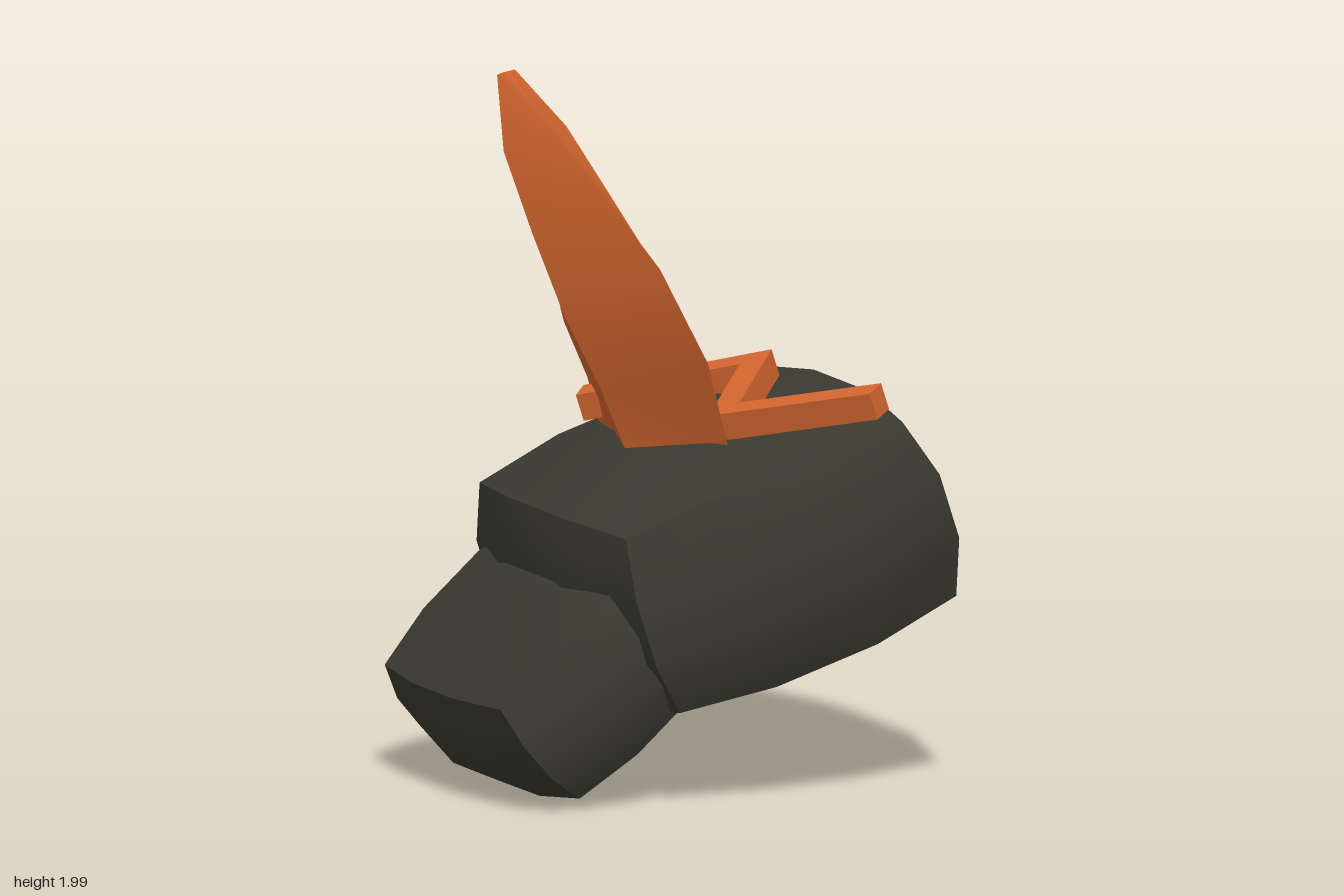
import * as THREE from 'three';

const darkStone = new THREE.MeshStandardMaterial({ color: 0x3b3a31 });
darkStone.name = 'darkStone';
const orange = new THREE.MeshStandardMaterial({ color: 0xd4662f });
orange.name = 'orange';

// Box bulged part of the way to a ball; the box edges stay sharp
function bulgedBox(name, hx, hy, hz) {
  const geo = new THREE.BoxGeometry(2, 2, 2, 3, 3, 3);
  const pos = geo.attributes.position;
  const p = new THREE.Vector3();
  for (let i = 0; i < pos.count; i++) {
    p.fromBufferAttribute(pos, i);
    p.multiplyScalar(0.507 + 0.854 / p.length());
    pos.setXYZ(i, p.x * hx, p.y * hy, p.z * hz);
  }
  geo.computeVertexNormals();
  const mesh = new THREE.Mesh(geo, darkStone);
  mesh.name = name;
  return mesh;
}

// Flat mitred strip along a zigzag path of [x, z] points
function zigzagStrip(path, half, depth) {
  const pts = path.map(([x, z]) => new THREE.Vector2(x, -z));
  const normals = pts.slice(1).map((p, i) => {
    const d = p.clone().sub(pts[i]).normalize();
    return new THREE.Vector2(-d.y, d.x);
  });
  const side = (s) => pts.map((p, i) => {
    const a = normals[Math.max(i - 1, 0)];
    const b = normals[Math.min(i, normals.length - 1)];
    const m = a.clone().add(b).normalize();
    return p.clone().addScaledVector(m, (s * half) / m.dot(a));
  });
  const shape = new THREE.Shape([...side(1), ...side(-1).reverse()]);
  const geo = new THREE.ExtrudeGeometry(shape, { depth, bevelEnabled: false });
  geo.rotateX(-Math.PI / 2);
  return geo;
}

// Four-sided horn lofted through rows of front, outer, back and inner corners
function loftHorn(rows) {
  const positions = [];
  const index = [];
  for (let s = 0; s < 4; s++) {
    const base = positions.length / 3;
    rows.forEach((row) => positions.push(...row[s], ...row[(s + 1) % 4]));
    for (let i = 0; i < rows.length - 1; i++) {
      const a = base + i * 2;
      index.push(a, a + 2, a + 3, a, a + 3, a + 1);
    }
  }
  // Blunt tip
  const cap = positions.length / 3;
  rows[0].forEach((p) => positions.push(...p));
  index.push(cap, cap + 1, cap + 2, cap, cap + 2, cap + 3);
  const geo = new THREE.BufferGeometry();
  geo.setAttribute('position', new THREE.Float32BufferAttribute(positions, 3));
  geo.setIndex(index);
  geo.computeVertexNormals();
  return geo;
}

export function createModel() {
  const model = new THREE.Group();
  model.name = 'hornedBlock';

  // Large tilted block with the raised zigzag on its top
  const upper = new THREE.Group();
  upper.name = 'upperBlock';
  upper.position.set(0.15, 0.685, 0);
  upper.rotation.z = 0.314;
  upper.add(bulgedBox('mainBlock', 0.4525, 0.27, 0.52));
  const zigzag = new THREE.Mesh(
    zigzagStrip([[0.375, 0.6], [0.055, 0.22], [0.315, -0.12], [-0.095, -0.48]], 0.04, 0.08),
    orange
  );
  zigzag.name = 'zigzagRidge';
  zigzag.position.y = 0.34;
  upper.add(zigzag);
  model.add(upper);

  // Smaller block at the lower end
  const lower = bulgedBox('lowerBlock', 0.316, 0.184, 0.412);
  lower.position.set(-0.348, 0.391, 0);
  lower.rotation.z = 0.733;
  model.add(lower);

  // Leaning horn
  const horn = new THREE.Mesh(loftHorn([
    [[-0.31, 2.0, -0.43], [-0.28, 2.0, -0.46], [-0.31, 1.99, -0.48], [-0.34, 1.99, -0.45]],
    [[-0.27, 1.87, -0.24], [-0.155, 1.84, -0.38], [-0.26, 1.76, -0.47], [-0.35, 1.78, -0.38]],
    [[-0.2, 1.7, 0], [-0.05, 1.64, -0.3], [-0.17, 1.5, -0.51], [-0.31, 1.56, -0.27]],
    [[-0.13, 1.52, 0.23], [0.05, 1.44, -0.21], [-0.08, 1.24, -0.57], [-0.26, 1.33, -0.15]],
    [[-0.03, 1.26, 0.34], [0.165, 1.16, -0.1], [-0.02, 1.08, -0.54], [-0.18, 1.13, -0.08]],
    [[0.06, 1.0, 0.28], [0.16, 0.98, -0.06], [0, 0.95, -0.5], [-0.1, 0.9, -0.03]],
  ]), orange);
  horn.name = 'horn';
  model.add(horn);

  return model;
}
